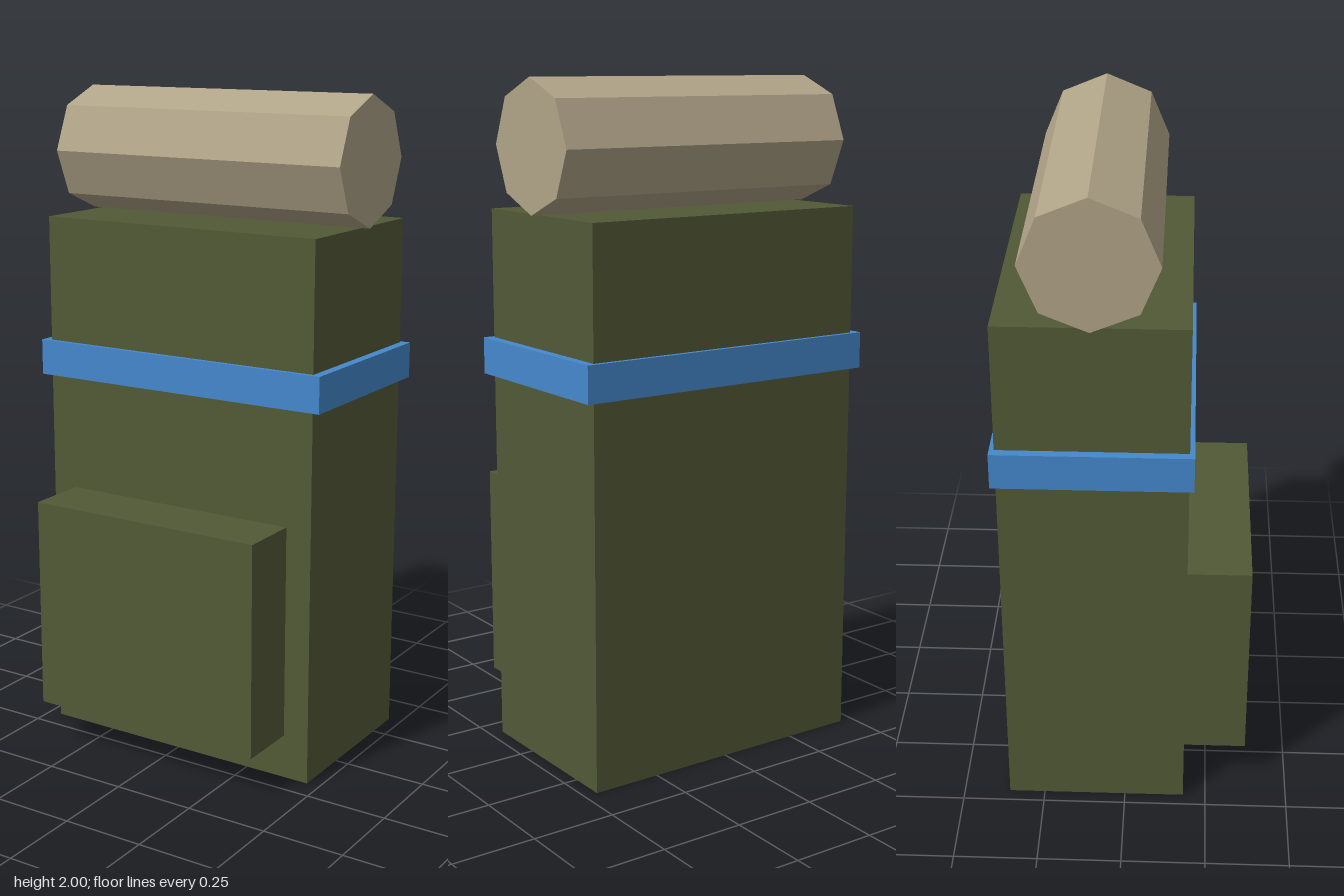
import * as THREE from 'three';

const paint = (name, color) => {
  const m = new THREE.MeshStandardMaterial({ color, flatShading: true });
  m.name = name;
  return m;
};

export function createModel() {
  const group = new THREE.Group();
  group.name = 'backpack';
  const canvas = paint('olive canvas', 0x525936);
  const webbing = paint('blue webbing', 0x4488cc);
  const bedding = paint('tan bedding', 0xb0a488);

  const add = (name, geometry, material, x, y, z) => {
    const mesh = new THREE.Mesh(geometry, material);
    mesh.name = name;
    mesh.position.set(x, y, z);
    group.add(mesh);
    return mesh;
  };

  // Main bag with the front pocket
  add('bag', new THREE.BoxGeometry(0.918, 1.622, 0.54), canvas, 0, 0.811, -0.089);
  add('frontPocket', new THREE.BoxGeometry(0.757, 0.649, 0.19), canvas, 0, 0.459, 0.276);

  // Strap around the bag
  add('strap', new THREE.BoxGeometry(0.973, 0.108, 0.568), webbing, 0, 1.189, -0.089);

  // Eight-sided bedroll lying across the top
  const roll = new THREE.CylinderGeometry(0.189, 0.189, 0.973, 8).rotateZ(Math.PI / 2);
  add('bedroll', roll, bedding, 0, 1.811, -0.089);

  return group;
}
